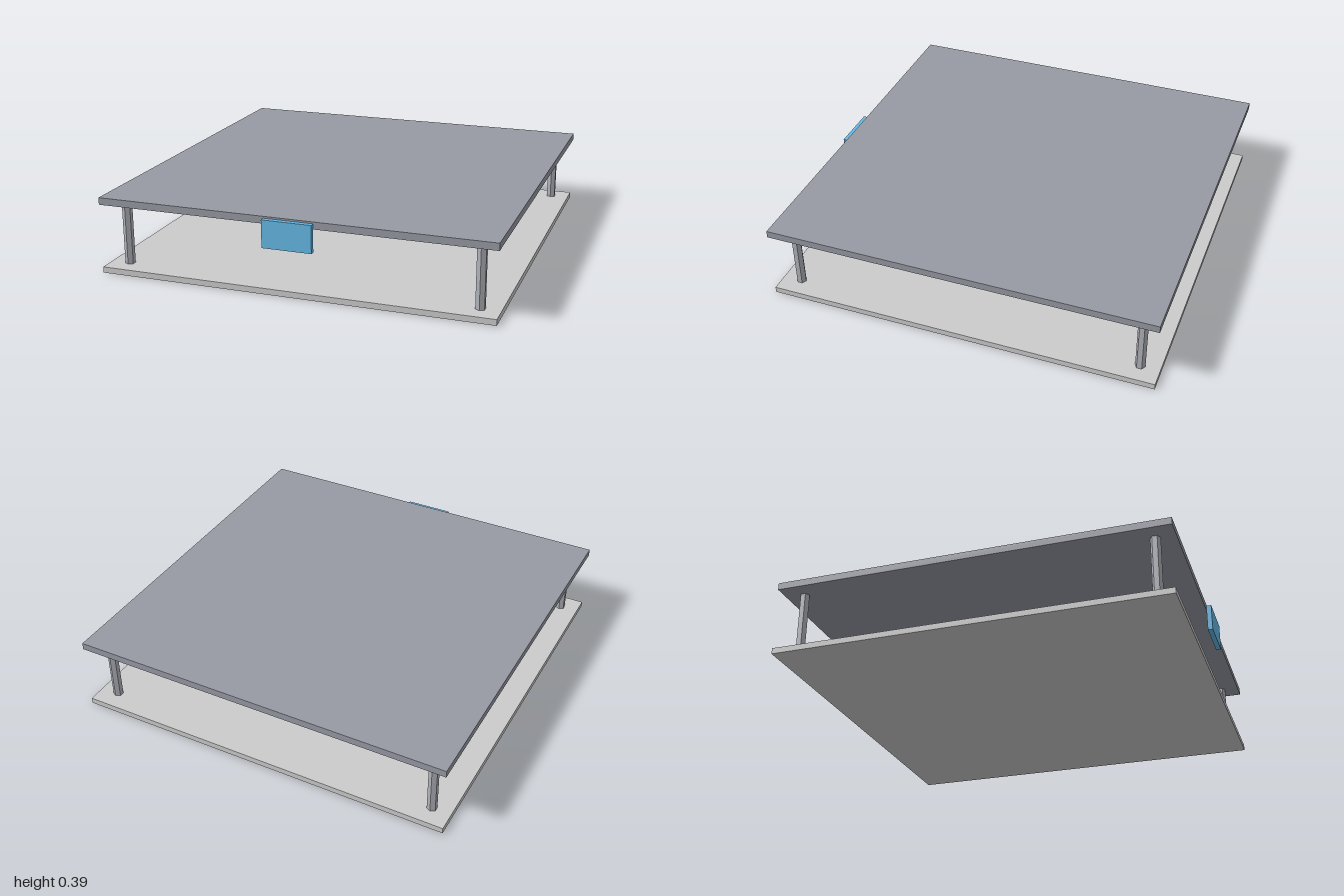
import * as THREE from 'three';

const SIZE = 1.975, CENTRE_Z = -0.0125, POST_OFFSET = 0.89;
const FLOOR_TOP = 0.03, ROOF_BOTTOM = 0.352, ROOF_TOP = 0.388;

const material = (color) => new THREE.MeshStandardMaterial({ color, flatShading: true });

export function createModel() {
  const model = new THREE.Group();
  model.name = 'canopy';

  const add = (name, geometry, mat, x, y, z) => {
    const mesh = new THREE.Mesh(geometry, mat);
    mesh.name = name;
    mesh.position.set(x, y, z);
    model.add(mesh);
  };

  // Square slab between two heights
  const slab = (name, bottom, top, mat) =>
    add(name, new THREE.BoxGeometry(SIZE, top - bottom, SIZE), mat, 0, (bottom + top) / 2, CENTRE_Z);

  slab('floor', 0, FLOOR_TOP, material(0xcccccc));
  slab('roof', ROOF_BOTTOM, ROOF_TOP, material(0x979aa4));

  // Hexagonal corner posts
  const height = ROOF_BOTTOM - FLOOR_TOP;
  const postGeometry = new THREE.CylinderGeometry(0.025, 0.025, height, 6);
  const postMaterial = material(0xb0b3ba);
  for (const [side, sx] of [['Left', 1], ['Right', -1]]) {
    for (const [end, sz] of [['front', 1], ['back', -1]]) {
      add(`${end}${side}Post`, postGeometry, postMaterial,
        sx * POST_OFFSET, FLOOR_TOP + height / 2, CENTRE_Z + sz * POST_OFFSET);
    }
  }

  // Blank sign hung on the front edge of the roof
  add('sign', new THREE.BoxGeometry(0.247, 0.138, 0.025), material(0x65b9e7), 0, 0.31, 0.9875);

  return model;
}
